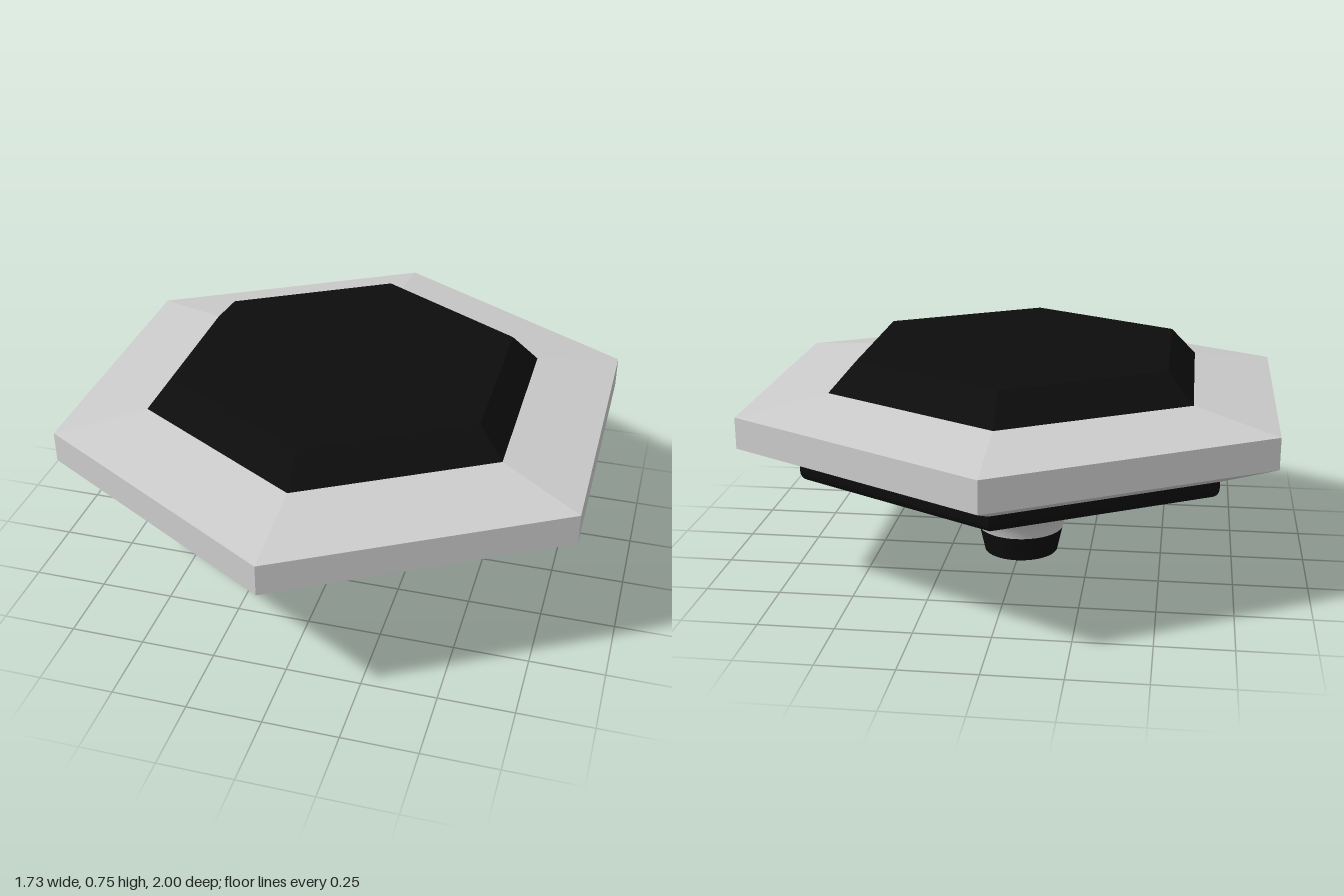
import * as THREE from 'three';
import { toCreasedNormals } from 'three/addons/utils/BufferGeometryUtils.js';

const grey = new THREE.MeshStandardMaterial({ color: 0xcccccc });
const black = new THREE.MeshStandardMaterial({ color: 0x0d0d0d });

// Revolve a bottom-to-top [radius, y] profile; 6 sides give a hexagon with corners on z
function turned(name, profile, sides, material, crease = 0.5) {
  const points = profile.map(([r, y]) => new THREE.Vector2(r, y));
  const geometry = toCreasedNormals(new THREE.LatheGeometry(points, sides), crease);
  const mesh = new THREE.Mesh(geometry, material);
  mesh.name = name;
  return mesh;
}

export function createModel() {
  const model = new THREE.Group();
  model.name = 'hexagonalKnob';

  // Wide hexagonal head with sloped top and bottom
  model.add(turned('hexBody',
    [[0, 0.42], [0.8, 0.42], [1, 0.5], [1, 0.605], [0.69, 0.652], [0, 0.652]], 6, grey, 0.1));

  // Bevelled hexagonal cap
  model.add(turned('topCap',
    [[0, 0.65], [0.69, 0.65], [0.59, 0.75], [0, 0.75]], 6, black, 0.1));

  // Thin hexagonal plate with a rounded lower rim
  const plate = [[0, 0.36]];
  const bevel = 0.035;
  for (let i = 0; i <= 5; i++) {
    const a = (i / 5) * Math.PI / 2;
    plate.push([0.795 - bevel + bevel * Math.sin(a), 0.36 + bevel * (1 - Math.cos(a))]);
  }
  plate.push([0.795, 0.425], [0, 0.425]);
  model.add(turned('lowerPlate', plate, 6, black));

  // Round stem, from the tip up to the plate
  const stem = new THREE.Group();
  stem.name = 'stem';
  stem.add(
    turned('stemTip', [[0, 0], [0.13, 0], [0.15, 0.09], [0, 0.09]], 40, black),
    turned('stemBulge', [[0, 0.088], [0.15, 0.088], [0.155, 0.11], [0.17, 0.14], [0.193, 0.172],
      [0.21, 0.205], [0.196, 0.235], [0.178, 0.272], [0, 0.272]], 40, grey, 0.9),
    turned('stemBand', [[0, 0.27], [0.178, 0.27], [0.225, 0.325], [0.225, 0.332], [0, 0.332]], 40, black),
    turned('stemCollar', [[0, 0.33], [0.225, 0.33], [0.212, 0.345], [0.19, 0.362], [0, 0.362]], 40, grey),
  );
  model.add(stem);

  return model;
}
